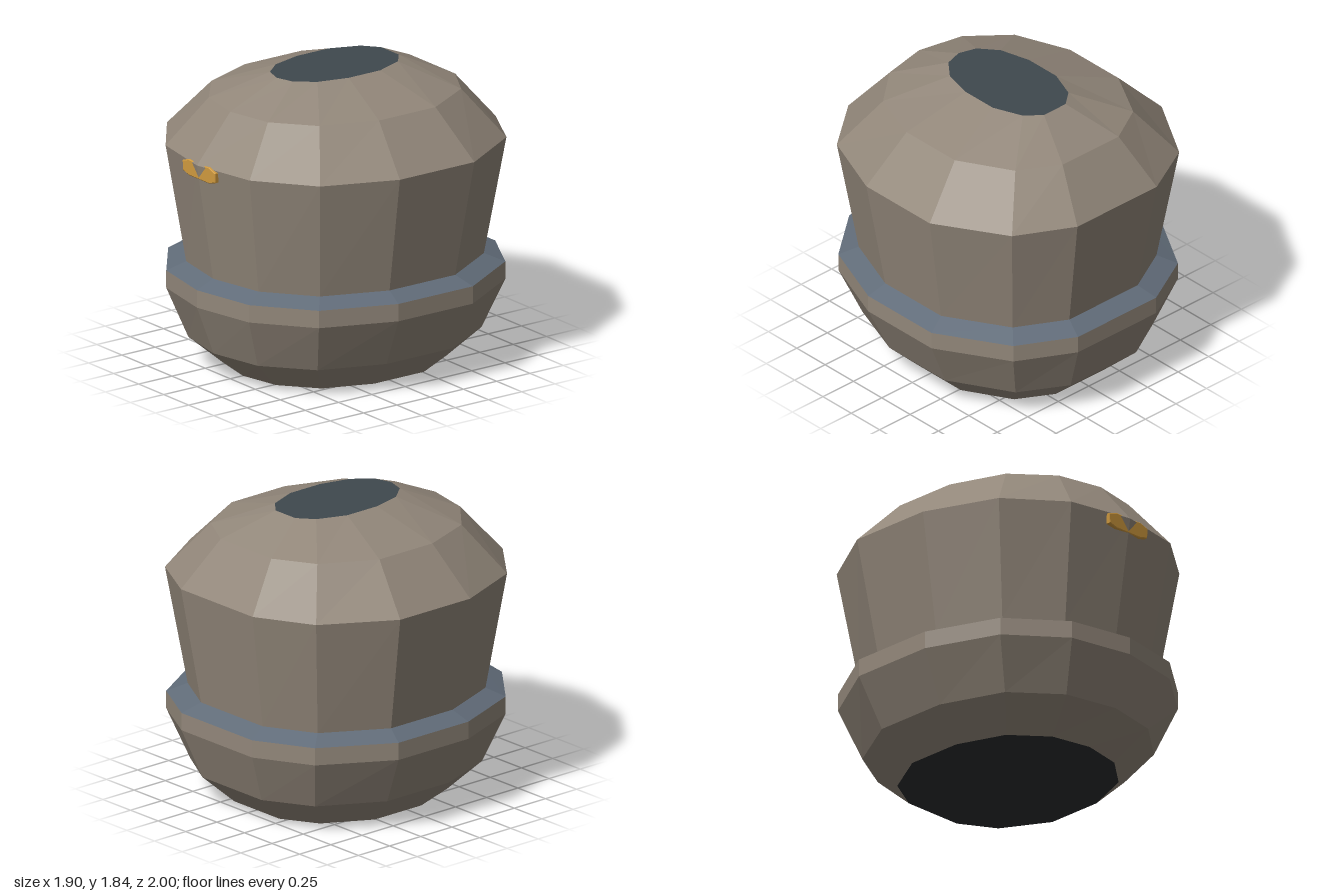
import * as THREE from 'three';

const mat = (name, color, flatShading = true) => {
  const m = new THREE.MeshStandardMaterial({ color, flatShading });
  m.name = name;
  return m;
};

// Half of the thirteen-sided outline (x, z), mirrored below
const half = [[0.42, 0.92], [0.765, 0.65], [0.95, 0.19], [0.95, -0.37], [0.685, -0.81], [0.325, -1]];
const outline = [[0, 1], ...half, ...half.slice().reverse().map(([x, z]) => [-x, z])];

// One level of the shell: height, x scale, z scale, z shift
const ring = ([y, sx, sz, dz]) => outline.map(([x, z]) => [x * sx, y, z * sz + dz]);

const levels = {
  base: [0, 0.625, 0.667, -0.012],
  lower: [0.185, 0.825, 0.877, -0.002],
  belt: [0.5, 0.984, 1, 0],
  rim: [0.61, 0.984, 1, 0],
  waist: [0.66, 0.86, 0.88, 0],
  brow: [1.4, 1, 1, 0],
  dome: [1.69, 0.705, 0.758, -0.008],
  crown: [1.835, 0.273, 0.425, -0.025],
};

function geometryFrom(points) {
  const g = new THREE.BufferGeometry();
  g.setAttribute('position', new THREE.Float32BufferAttribute(points.flat(), 3));
  g.computeVertexNormals();
  return g;
}

// Bands of faces between successive levels
function bands(names) {
  const rings = names.map((n) => ring(levels[n]));
  const points = [];
  for (let r = 0; r < rings.length - 1; r++) {
    const a = rings[r], b = rings[r + 1];
    for (let i = 0; i < a.length; i++) {
      const j = (i + 1) % a.length;
      points.push(a[i], a[j], b[j], a[i], b[j], b[i]);
    }
  }
  return geometryFrom(points);
}

// Flat lid over one level, facing up or down
function lid(name, up) {
  const p = ring(levels[name]);
  const points = [];
  for (let i = 1; i < p.length - 1; i++) {
    points.push(p[0], ...(up ? [p[i], p[i + 1]] : [p[i + 1], p[i]]));
  }
  return geometryFrom(points);
}

export function createModel() {
  const group = new THREE.Group();
  const shell = mat('taupe shell', 0x92877a);
  const blue = mat('blue grey rim', 0x616c79);
  const slate = mat('slate crown', 0x3f484e);
  const black = mat('black base', 0x2b2d30);
  const gold = mat('gold plate', 0xd09a3e);

  const add = (name, geometry, material) => {
    const mesh = new THREE.Mesh(geometry, material);
    mesh.name = name;
    group.add(mesh);
    return mesh;
  };

  add('lowerBowl', bands(['base', 'lower', 'belt', 'rim']), shell);
  add('rimBand', bands(['rim', 'waist']), blue);
  add('upperBody', bands(['waist', 'brow', 'dome', 'crown']), shell);
  add('crownLid', lid('crown', true), slate);
  add('baseLid', lid('base', false), black);

  // Small front plate, split in the middle by the shell's front edge
  const side = [[0.1, 1.314], [0.155, 1.33], [0.16, 1.385], [0.1, 1.405], [0.05, 1.402], [0.03, 1.393]];
  const pts = [[0, 1.314], ...side, ...side.slice().reverse().map(([x, y]) => [-x, y])];
  const shape = new THREE.Shape(pts.map(([x, y]) => new THREE.Vector2(x, y)));
  const plate = new THREE.ExtrudeGeometry(shape, {
    depth: 0.028, bevelEnabled: true, bevelThickness: 0.004, bevelSize: 0.005, bevelSegments: 1,
  });
  add('frontPlate', plate, gold).position.z = 0.955;

  return group;
}
